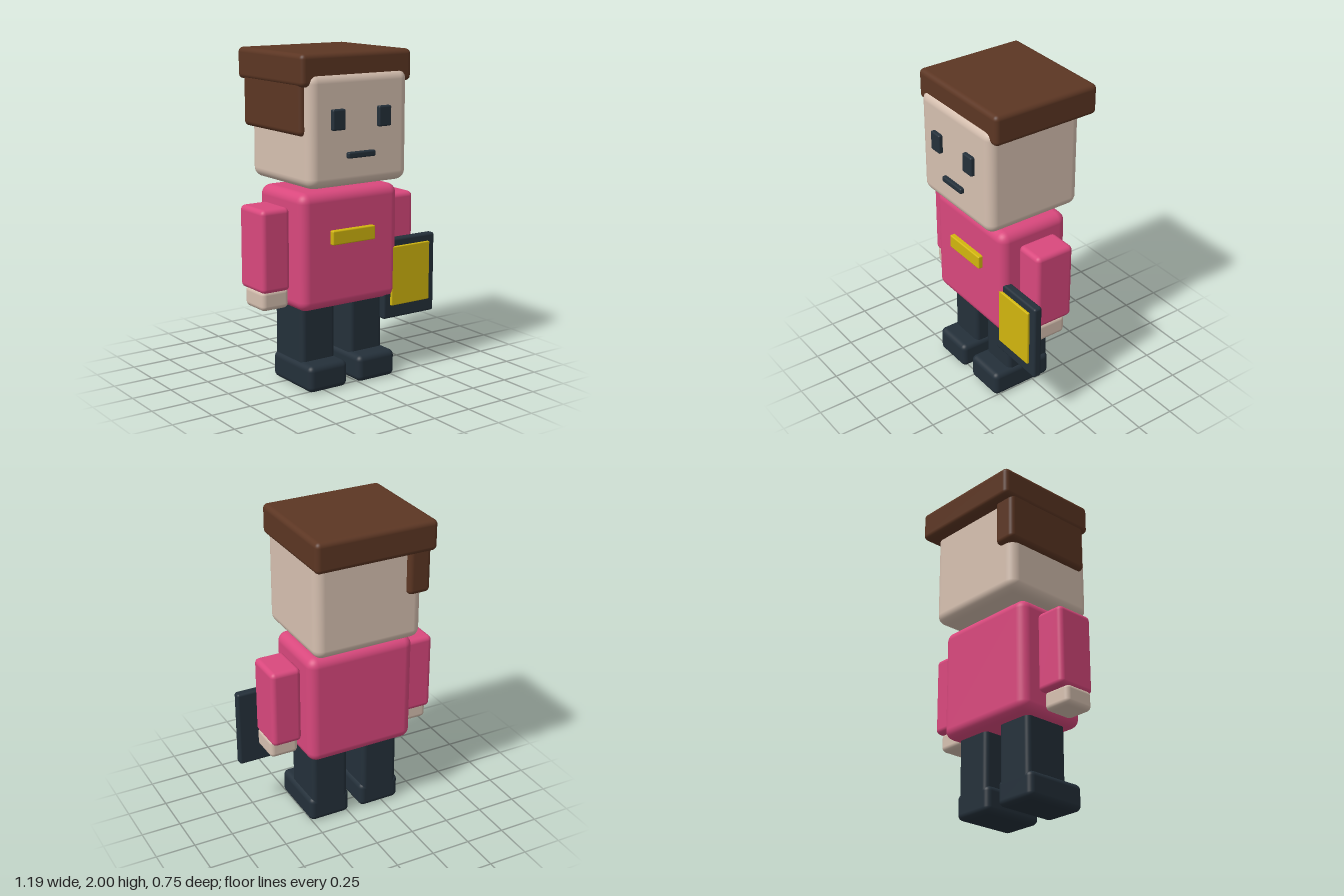
import * as THREE from 'three';
import { RoundedBoxGeometry } from 'three/addons/geometries/RoundedBoxGeometry.js';

const paint = (name, color) => {
  const m = new THREE.MeshStandardMaterial({ color });
  m.name = name;
  return m;
};

export function createModel() {
  const model = new THREE.Group();
  model.name = 'blockFigure';

  const hair = paint('brown hair', 0x5c3623);
  const skin = paint('skin', 0xd6c0b0);
  const shirt = paint('pink shirt', 0xd9487d);
  const dark = paint('dark navy', 0x24303a);
  const yellow = paint('yellow', 0xd2b60e);

  // Rounded block given by its extents on each axis
  const block = (name, material, [x0, x1], [y0, y1], [z0, z1], radius) => {
    const geometry = new RoundedBoxGeometry(x1 - x0, y1 - y0, z1 - z0, 4, radius);
    const mesh = new THREE.Mesh(geometry, material);
    mesh.name = name;
    mesh.position.set((x0 + x1) / 2, (y0 + y1) / 2, (z0 + z1) / 2);
    model.add(mesh);
  };

  // The body is mirrored about this plane
  const mid = -0.05;
  const pair = (name, material, [a, b], y, z, radius) => {
    block('left' + name, material, [mid + a, mid + b], y, z, radius);
    block('right' + name, material, [mid - b, mid - a], y, z, radius);
  };

  // Head and face
  block('head', skin, [-0.40, 0.30], [1.23, 1.89], [-0.29, 0.35], 0.06);
  pair('Eye', dark, [0.117, 0.206], [1.565, 1.685], [0.325, 0.375], 0.01);
  block('mouth', dark, [-0.148, 0.045], [1.397, 1.433], [0.325, 0.375], 0.01);

  // Hair cap and the long side panel
  block('hairCap', hair, [-0.437, 0.335], [1.813, 2.0], [-0.375, 0.33], 0.03);
  block('hairSide', hair, [-0.43, -0.285], [1.535, 1.9], [-0.323, 0.295], 0.03);

  // Torso, chest badge, arms and hands
  block('torso', shirt, [-0.40, 0.30], [0.49, 1.195], [-0.21, 0.267], 0.06);
  block('chestBadge', yellow, [-0.203, 0.102], [0.88, 0.966], [0.245, 0.297], 0.008);
  pair('Arm', shirt, [0.355, 0.547], [0.61, 1.107], [-0.103, 0.155], 0.03);
  pair('Hand', skin, [0.36, 0.545], [0.505, 0.63], [-0.057, 0.147], 0.03);

  // Legs and shoes
  pair('Leg', dark, [0.055, 0.295], [0.06, 0.56], [-0.123, 0.18], 0.03);
  pair('Shoe', dark, [0.04, 0.313], [0, 0.163], [-0.123, 0.292], 0.035);

  // Carried book with its cover panel
  block('book', dark, [0.207, 0.595], [0.35, 0.85], [0.193, 0.248], 0.015);
  block('bookPanel', yellow, [0.255, 0.546], [0.433, 0.803], [0.23, 0.263], 0.006);

  return model;
}
